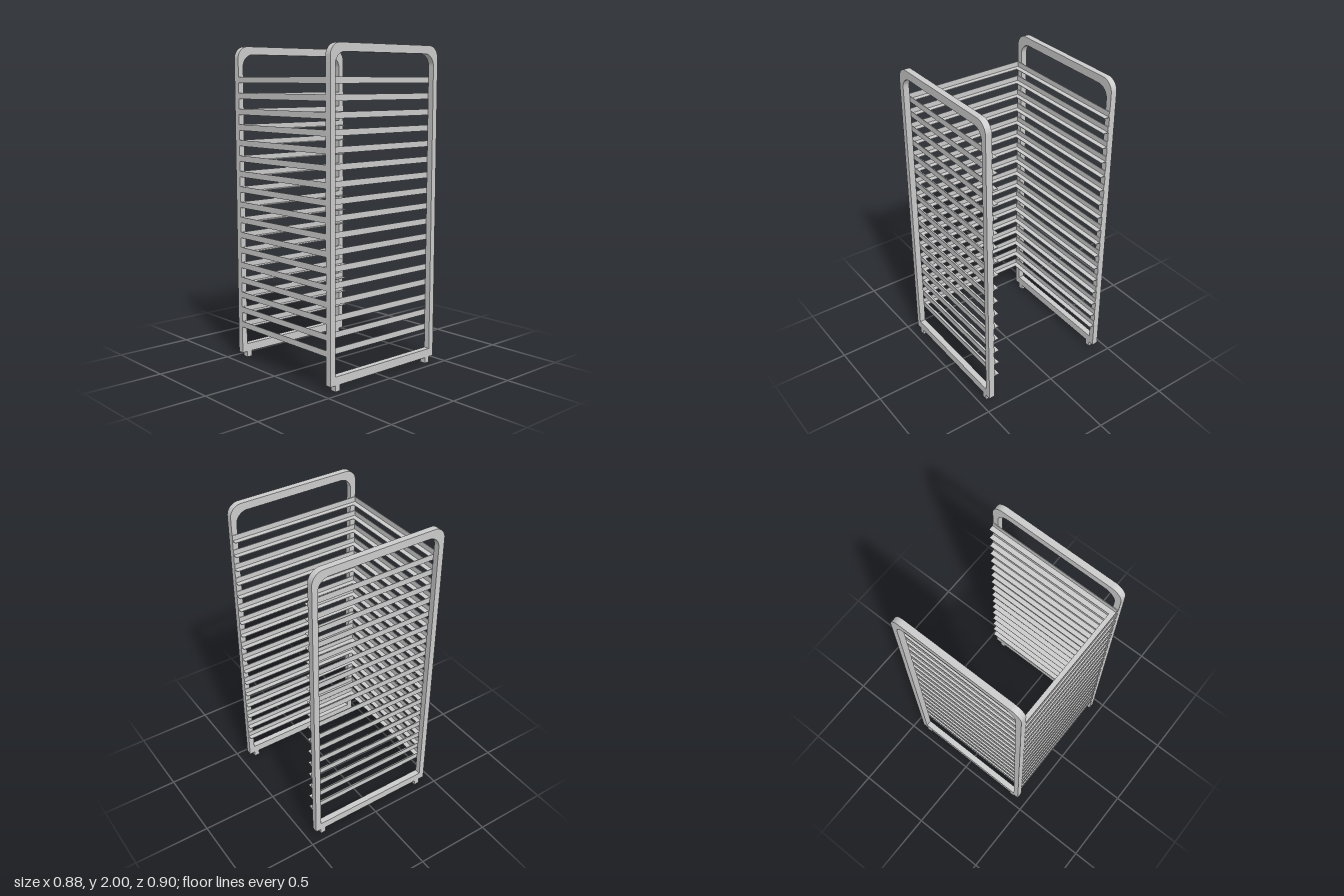
import * as THREE from 'three';
import { toCreasedNormals } from 'three/addons/utils/BufferGeometryUtils.js';

const HALF_X = 0.44, OUT_Z = 0.45, IN_Z = 0.41;   // rack footprint and inner face of the frames
const RUNNERS = 17, FIRST_Y = 0.21, PITCH = 0.0978; // runner levels

// Rectangle outline with rounded top corners
function archOutline(path, hx, y0, y1, r) {
  path.moveTo(-hx, y0);
  path.lineTo(hx, y0);
  path.lineTo(hx, y1 - r);
  path.absarc(hx - r, y1 - r, r, 0, Math.PI / 2, false);
  path.lineTo(-hx + r, y1);
  path.absarc(-hx + r, y1 - r, r, Math.PI / 2, Math.PI, false);
  path.closePath();
  return path;
}

// U-shaped strip, open towards +x, extruded upwards
function uStrip(width, height) {
  const x0 = -HALF_X, xi = x0 + width, zi = IN_Z - width;
  const shape = new THREE.Shape([
    [HALF_X, -IN_Z], [HALF_X, -zi], [xi, -zi], [xi, zi],
    [HALF_X, zi], [HALF_X, IN_Z], [x0, IN_Z], [x0, -IN_Z],
  ].map(([x, z]) => new THREE.Vector2(x, z)));
  return new THREE.ExtrudeGeometry(shape, { depth: height, bevelEnabled: false }).rotateX(-Math.PI / 2);
}

export function createModel() {
  const rack = new THREE.Group();
  rack.name = 'trayRack';
  const material = new THREE.MeshStandardMaterial({ color: 0xcccccc });
  const add = (parent, geometry, name, x = 0, y = 0, z = 0) => {
    const mesh = new THREE.Mesh(geometry, material);
    mesh.name = name;
    mesh.position.set(x, y, z);
    parent.add(mesh);
  };

  // Upright frames with feet, front and back
  const outline = archOutline(new THREE.Shape(), HALF_X, 0.037, 2, 0.075);
  outline.holes.push(archOutline(new THREE.Path(), 0.403, 0.09, 1.95, 0.075));
  const depth = OUT_Z - IN_Z;
  const frameGeo = toCreasedNormals(
    new THREE.ExtrudeGeometry(outline, { depth, bevelEnabled: false, curveSegments: 12 }), 0.5);
  const footGeo = new THREE.BoxGeometry(0.035, 0.037, depth);
  for (const side of [1, -1]) {
    const frame = new THREE.Group();
    frame.name = side > 0 ? 'frontFrame' : 'backFrame';
    const z = side * (IN_Z + OUT_Z) / 2;
    add(frame, frameGeo, 'uprightFrame', 0, 0, z - depth / 2);
    for (const x of [-0.385, 0.385]) add(frame, footGeo, 'foot', x, 0.0185, z);
    rack.add(frame);
  }

  // Angle-section tray runners: an upright web and a flange at its foot
  const webGeo = uStrip(0.004, 0.037);
  const flangeGeo = uStrip(0.036, 0.004);
  for (let i = 0; i < RUNNERS; i++) {
    const runner = new THREE.Group();
    runner.name = 'trayRunner';
    runner.position.y = FIRST_Y + i * PITCH;
    add(runner, webGeo, 'runnerWeb');
    add(runner, flangeGeo, 'runnerFlange');
    rack.add(runner);
  }
  return rack;
}
